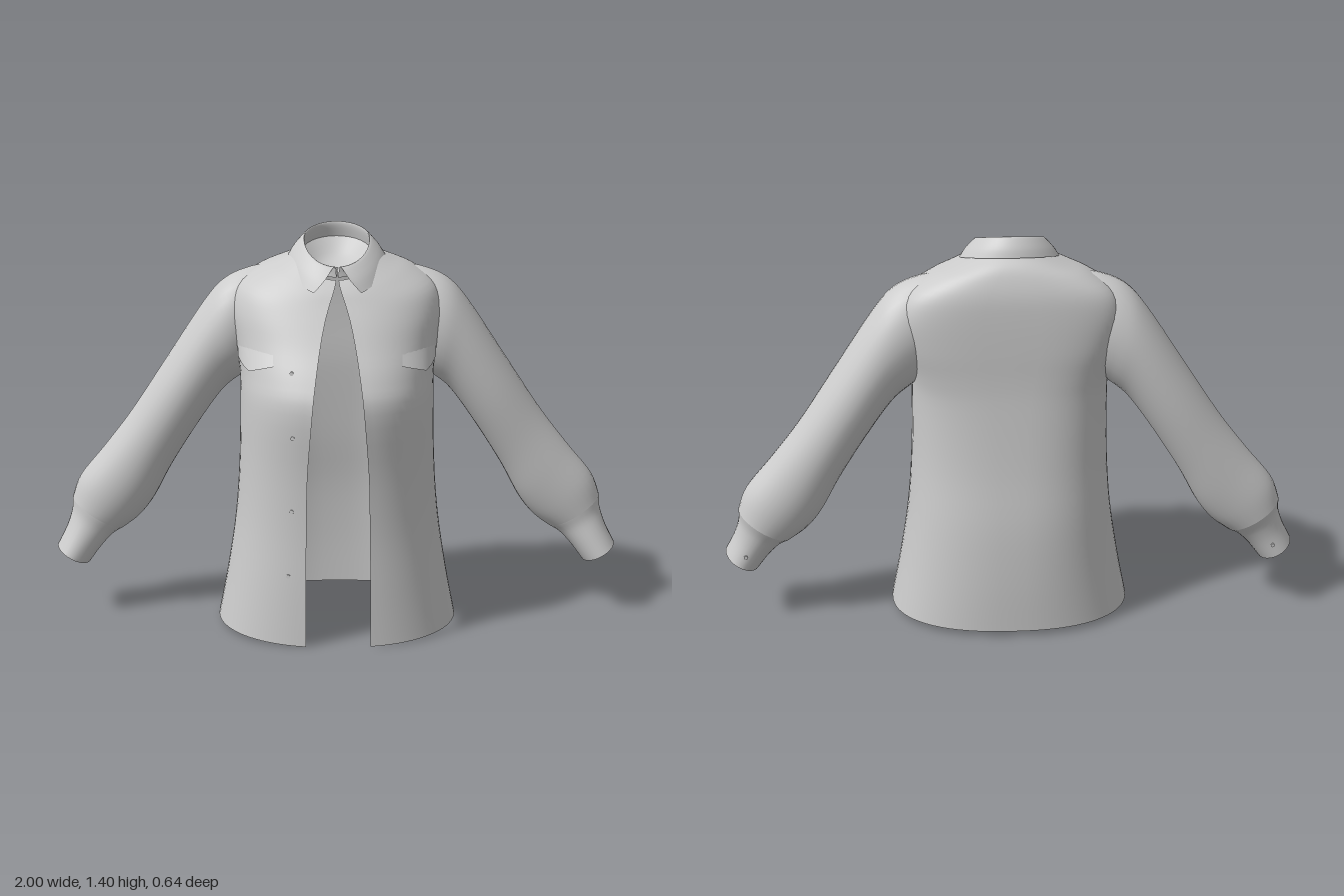
import * as THREE from 'three';

const cloth = new THREE.MeshStandardMaterial({ color: 0xcccccc, side: THREE.DoubleSide });

// Smoothly interpolates a list of parameter rows at position v
function sample(rows, v) {
  const last = rows.length - 1;
  const i = Math.min(Math.floor(v), last - 1), f = v - i;
  const row = k => rows[Math.max(0, Math.min(last, k))];
  return rows[i].map((b, k) => {
    const a = row(i - 1)[k], c = row(i + 1)[k], d = row(i + 2)[k];
    return b + 0.5 * f * (c - a + f * (2 * a - 5 * b + 4 * c - d + f * (3 * (b - c) + d - a)));
  });
}

// Builds a grid surface from point(u, v), u and v in 0..1
function surface(name, nu, nv, point, { closed = false, flip = false } = {}) {
  const pos = [], idx = [], cols = closed ? nu : nu + 1;
  for (let j = 0; j <= nv; j++)
    for (let i = 0; i < cols; i++) pos.push(...point(i / nu, j / nv));
  for (let j = 0; j < nv; j++)
    for (let i = 0; i < nu; i++) {
      const a = j * cols + i, b = j * cols + (i + 1) % cols, c = a + cols, d = b + cols;
      if (flip) idx.push(a, c, b, b, c, d);
      else idx.push(a, b, c, b, d, c);
    }
  const geo = new THREE.BufferGeometry();
  geo.setAttribute('position', new THREE.Float32BufferAttribute(pos, 3));
  geo.setIndex(idx);
  geo.computeVertexNormals();
  const mesh = new THREE.Mesh(geo, cloth);
  mesh.name = name;
  return mesh;
}

// Section rows: half width, z front, z middle, z back, y front, y side, y back,
// half opening, roundness of the front, roundness of the back (1 = ellipse, less = squarer)
const torsoRows = [
  [.42, .305, -.02, -.32, 0, .02, .02, .11, .85, .85],
  [.385, .302, -.02, -.32, .2, .2, .2, .11, .85, .85],
  [.355, .298, -.02, -.31, .4, .4, .4, .107, .85, .82],
  [.34, .305, -.02, -.285, .6, .6, .6, .103, .85, .78],
  [.335, .325, -.03, -.265, .82, .82, .82, .086, .85, .7],
  [.337, .292, -.05, -.26, .92, .92, .92, .075, .85, .62],
  [.355, .23, -.08, -.26, 1.02, 1.02, 1.02, .06, .85, .55],
  [.37, .183, -.10, -.258, 1.1, 1.12, 1.13, .044, .85, .55],
  [.345, .15, -.10, -.252, 1.155, 1.2, 1.21, .028, .85, .6],
  [.265, .13, -.10, -.235, 1.19, 1.258, 1.27, .016, .85, .7],
  [.195, .112, -.08, -.213, 1.215, 1.288, 1.31, .008, .85, .85],
  [.135, .095, -.05, -.18, 1.235, 1.312, 1.335, .004, .9, .9],
];
const collarRows = [
  [.168, .158, -.04, -.197, 1.186, 1.293, 1.335, .08, 1, 1],
  [.147, .135, -.04, -.186, 1.232, 1.325, 1.365, .045, 1, 1],
  [.115, .10, -.04, -.162, 1.28, 1.358, 1.397, .012, 1, 1],
  [.112, .096, -.04, -.158, 1.268, 1.345, 1.382, .006, 1, 1],
  [.12, .097, -.04, -.168, 1.245, 1.31, 1.342, .002, 1, 1],
];
const neckRows = [
  [.004, .0, -.04, -.044, 1.255, 1.255, 1.255, .001, 1, 1],
  [.065, .03, -.04, -.11, 1.25, 1.268, 1.28, .001, 1, 1],
  [.118, .095, -.04, -.166, 1.248, 1.312, 1.345, .001, 1, 1],
];

// Point on a body section at angle t (0 = front, PI = back);
// tilt sets how height varies from the side to the front and back
function bodyPoint(r, t, pad = 0, tilt = 2) {
  const [w, zf, zm, zb, yf, ys, yb, , roundFront, roundBack] = r;
  const s = Math.sin(t), c = Math.cos(t);
  const round = c > 0 ? roundFront : roundBack;
  const x = Math.sign(s) * Math.abs(s) ** round * (w + pad);
  const reach = c > 0 ? zf - zm + pad : zm - zb + pad;
  const z = zm + Math.sign(c) * Math.abs(c) ** round * reach;
  return [x, ys + ((c > 0 ? yf : yb) - ys) * Math.abs(c) ** tilt, z];
}

// Wraps the section rows around the body, leaving the front opening
function wrap(name, rows, nu, nv, tilt) {
  return surface(name, nu, nv, (u, v) => {
    const r = sample(rows, v * (rows.length - 1));
    const t0 = Math.asin((Math.max(r[7], .0005) / r[0]) ** (1 / r[8]));
    return bodyPoint(r, t0 + u * 2 * (Math.PI - t0), 0, tilt);
  });
}

// Sleeve rings: upper x, y, lower x, y, z middle, z radius
const sleeveRows = [
  [.23, 1.262, .26, 1.0, -.10, .07],
  [.30, 1.25, .285, .91, -.10, .108],
  [.385, 1.212, .335, .87, -.10, .126],
  [.46, 1.13, .40, .815, -.105, .127],
  [.60, .92, .49, .69, -.11, .122],
  [.72, .74, .585, .54, -.115, .11],
  [.82, .61, .65, .42, -.115, .105],
  [.91, .50, .705, .35, -.115, .1],
  [.942, .42, .765, .305, -.115, .093],
];
const cuffRows = [
  [.942, .42, .765, .305, -.115, .093],
  [.945, .375, .80, .285, -.107, .084],
  [.965, .315, .842, .242, -.097, .084],
  [.998, .25, .885, .185, -.09, .09],
];

function sleevePart(name, rows, side, nv) {
  return surface(name, 28, nv, (u, v) => {
    const [ax, ay, bx, by, zm, rz] = sample(rows, v * (rows.length - 1));
    const a = u * Math.PI * 2, c = Math.cos(a) / 2;
    return [side * ((ax + bx) / 2 + (ax - bx) * c), (ay + by) / 2 + (ay - by) * c, zm + rz * Math.sin(a)];
  }, { closed: true, flip: side < 0 });
}

// Small round button facing along dir
function button(name, p, dir) {
  const m = new THREE.Mesh(new THREE.CylinderGeometry(.007, .007, .005, 12), cloth);
  m.name = name;
  m.position.set(...p);
  m.quaternion.setFromUnitVectors(new THREE.Vector3(0, 1, 0), new THREE.Vector3(...dir).normalize());
  return m;
}

export function createModel() {
  const shirt = new THREE.Group();
  shirt.name = 'shirt';
  shirt.add(
    wrap('torso', torsoRows, 72, 44, 2),
    wrap('collar', collarRows, 48, 16, 1),
    wrap('innerNeck', neckRows, 32, 8, 1),
  );

  for (const side of [1, -1]) {
    const label = side > 0 ? 'left' : 'right';
    const sleeve = new THREE.Group();
    sleeve.name = label + 'Sleeve';
    sleeve.add(
      sleevePart(label + 'Arm', sleeveRows, side, 40),
      sleevePart(label + 'Cuff', cuffRows, side, 12),
      button(label + 'CuffButton', [side * .92, .26, -.182], [0, 0, -1]),
    );
    shirt.add(sleeve);

    // Chest pocket flap: pointed lower edge lifts off, the top melts into the chest
    shirt.add(surface(label + 'PocketFlap', 12, 6, (u, v) => {
      const point = 1 - Math.abs(2 * u - 1);
      const low = 5.45 - .25 * point;
      const pad = .016 * (1 - v) * (.3 + .7 * point) - .003 * v;
      const p = bodyPoint(sample(torsoRows, low + (6 - low) * v), .6 + .7 * u, pad);
      return [side * p[0], p[1], p[2]];
    }, { flip: side < 0 }));
  }

  // Buttons down the right front edge
  for (const v of [1.25, 2.4, 3.6, 5.3])
    shirt.add(button('frontButton', bodyPoint(sample(torsoRows, v), -.4, .001), [-.25, 0, 1]));
  return shirt;
}
